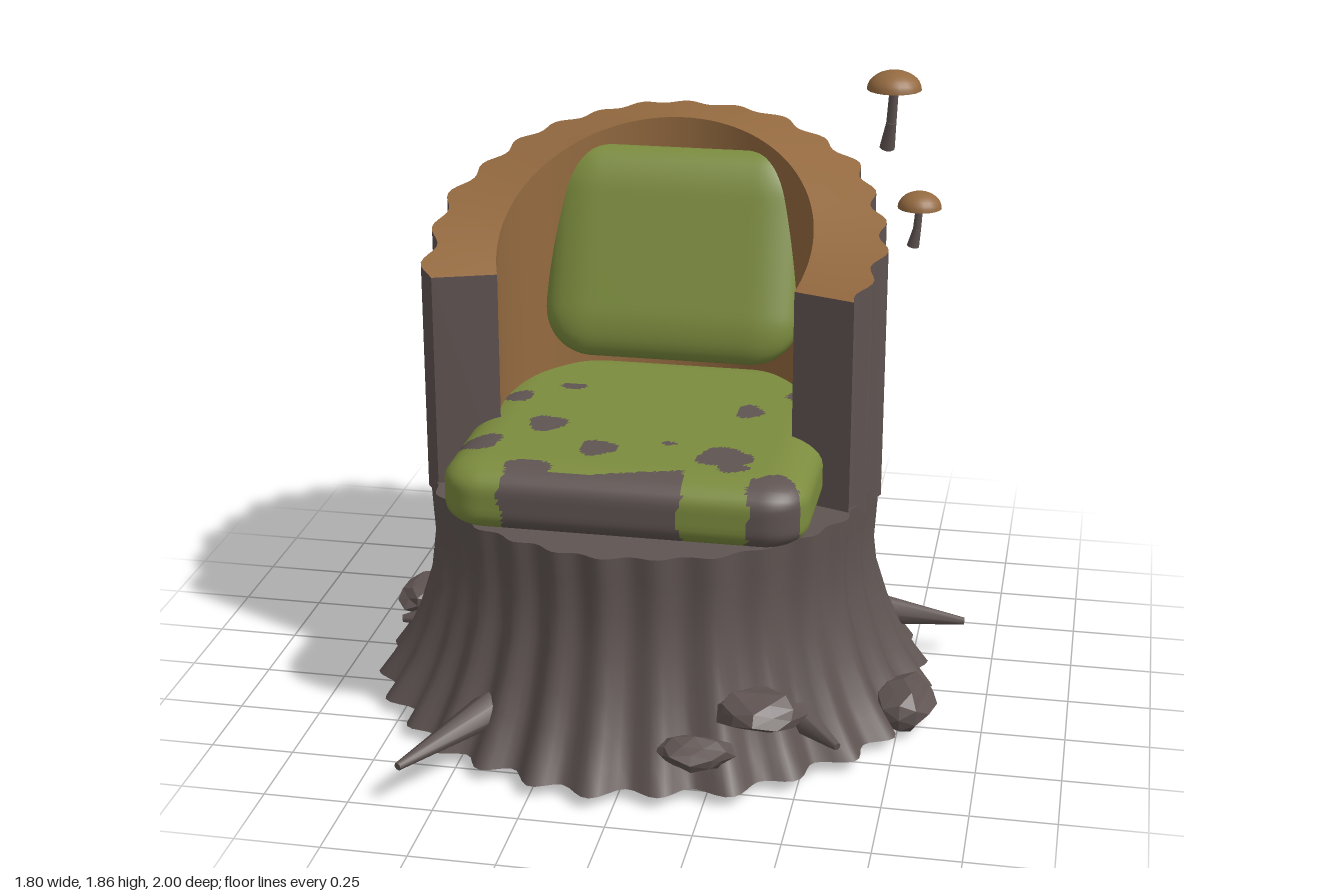
import * as THREE from 'three';
import { mergeVertices } from 'three/addons/utils/BufferGeometryUtils.js';

const CX = -0.04, CZ = 0.04; // trunk axis
const bark = new THREE.MeshStandardMaterial({ color: 0x5f5452 });
const wood = new THREE.MeshStandardMaterial({ color: 0x946a40 });
const moss = new THREE.MeshStandardMaterial({ color: 0x7c8c3e });
bark.name = 'bark';
wood.name = 'wood';
moss.name = 'moss';

const { sin, cos, PI } = Math;
const lerp = THREE.MathUtils.lerp;

// Surface grid from f(u, v) -> [x, y, z]; its front faces du x dv
function sheet(nu, nv, f) {
  const pos = [], idx = [];
  for (let j = 0; j <= nv; j++) for (let i = 0; i <= nu; i++) pos.push(...f(i / nu, j / nv));
  for (let j = 0; j < nv; j++) for (let i = 0; i < nu; i++) {
    const a = j * (nu + 1) + i, c = a + nu + 1;
    idx.push(a, a + 1, c, a + 1, c + 1, c);
  }
  let g = new THREE.BufferGeometry();
  g.setAttribute('position', new THREE.Float32BufferAttribute(pos, 3));
  g.setIndex(idx);
  g = mergeVertices(g, 1e-4);
  g.computeVertexNormals();
  return g;
}

function add(parent, name, geometry, material) {
  const m = new THREE.Mesh(geometry, material);
  m.name = name;
  parent.add(m);
  return m;
}

// Point around the trunk axis, angle 0 at +x, turning towards the back
const polar = (r, a, y) => [CX + r * cos(a), y, CZ - r * sin(a)];
// Irregular bark ridges, about -1..1
const ridge = a => 0.7 * cos(28 * a + 0.9 * sin(3 * a)) + 0.3 * sin(11 * a + 1);

// Box with elliptical rounding radii per axis
function cushionGeometry(size, radii, segs) {
  let g = new THREE.BoxGeometry(...size, ...segs);
  g.deleteAttribute('uv');
  g.deleteAttribute('normal');
  g.clearGroups();
  const p = g.attributes.position;
  for (let i = 0; i < p.count; i++) {
    const v = [p.getX(i), p.getY(i), p.getZ(i)];
    const core = v.map((c, k) => THREE.MathUtils.clamp(c, radii[k] - size[k] / 2, size[k] / 2 - radii[k]));
    const d = v.map((c, k) => (c - core[k]) / radii[k]);
    const len = Math.hypot(...d) || 1;
    p.setXYZ(i, ...core.map((c, k) => c + d[k] / len * radii[k]));
  }
  g = mergeVertices(g, 1e-5);
  g.computeVertexNormals();
  return g;
}

// Bare patches in the moss: x, z, radius x, radius z
const PATCHES = [
  [-0.47, 0.02, 0.045, 0.045], [0.25, 0.03, 0.04, 0.055], [0.39, -0.13, 0.045, 0.05],
  [-0.33, 0.235, 0.057, 0.062], [-0.49, 0.4, 0.062, 0.058], [-0.14, 0.4, 0.055, 0.058],
  [0.06, 0.33, 0.022, 0.014], [0.235, 0.405, 0.082, 0.07], [0.27, 0.48, 0.045, 0.035],
  [-0.32, -0.09, 0.04, 0.025], [-0.31, 0.57, 0.065, 0.05], [0.41, 0.58, 0.078, 0.07],
];
function isBare(x, y, z) {
  const wob = 0.008 * sin(y * 45 + x * 3);
  if (x > -0.38 + wob && x < 0.14 + wob && z > 0.575 - 0.2 * (x + 0.12) * (x > -0.12 ? 1 : 0)) return true;
  if (x > 0.34 + wob && x < 0.47 + wob && z > 0.54) return true;
  return PATCHES.some(([px, pz, rx, rz]) => {
    const dx = (x - px) / rx, dz = (z - pz) / rz, a = Math.atan2(dz, dx);
    return Math.hypot(dx, dz) < 1 + 0.12 * sin(3 * a + px * 30);
  });
}

function createSeat() {
  const at = [-0.035, 0.8, 0.1];
  const g = cushionGeometry([1.07, 0.21, 1.06], [0.13, 0.07, 0.13], [90, 12, 90]);
  const p = g.attributes.position, src = g.index.array, sets = [[], []];
  for (let i = 0; i < src.length; i += 3) {
    const t = [src[i], src[i + 1], src[i + 2]];
    const mid = f => (f(t[0]) + f(t[1]) + f(t[2])) / 3;
    const bare = isBare(mid(k => p.getX(k)) + at[0], mid(k => p.getY(k)) + at[1], mid(k => p.getZ(k)) + at[2]);
    sets[bare ? 1 : 0].push(...t);
  }
  g.setIndex(sets[0].concat(sets[1]));
  g.addGroup(0, sets[0].length, 0);
  g.addGroup(sets[0].length, sets[1].length, 1);
  g.translate(...at);
  return g;
}

function createStump(group) {
  // Flared base: height, radius, ridge depth
  const prof = [[0.04, 0.835, 0.04], [0.1, 0.795, 0.034], [0.18, 0.75, 0.028], [0.28, 0.71, 0.022],
    [0.4, 0.675, 0.018], [0.52, 0.662, 0.016], [0.62, 0.668, 0.016], [0.7, 0.672, 0.016]];
  const base = (a, k, s = 1) => polar(s * (prof[k][1] + prof[k][2] * ridge(a)), a, prof[k][0]);
  const n = prof.length - 1, turn = 2 * PI;
  add(group, 'stumpBase', sheet(224, n, (u, v) => base(u * turn, Math.round(v * n))), bark);
  add(group, 'stumpTop', sheet(224, 1, (u, v) => base(u * turn, n, 1 - v)), bark);
  add(group, 'stumpBottom', sheet(224, 1, (u, v) => base(u * turn, 0, v)), bark);

  // Hollow back, open at the front, with a rim rising to the rear
  const a0 = -PI / 9, a1 = PI - a0, low = 0.67, rIn = 0.47;
  const rOut = a => 0.672 + 0.024 * ridge(a);
  const top = a => 1.35 + 0.34 * (sin(a) - sin(a0)) / (1 - sin(a0));
  const loop = [
    a => polar(rOut(a), a, low), a => polar(rOut(a), a, top(a)),
    a => polar(rIn, a, top(a)), a => polar(rIn, a, low),
  ];
  [['backBark', bark], ['backRim', wood], ['backLining', wood], ['backUnderside', bark]].forEach(([name, mat], k) => {
    const from = loop[k], to = loop[(k + 1) % 4];
    add(group, name, sheet(144, 1, (u, v) => {
      const a = lerp(a0, a1, u);
      return v ? to(a) : from(a);
    }), mat);
  });
  for (const [name, a, flip] of [['leftArmFace', a0, false], ['rightArmFace', a1, true]]) {
    add(group, name, sheet(1, 1, (u, v) =>
      polar(lerp(rIn, rOut(a), flip ? 1 - u : u), a, lerp(low, top(a), v))), bark);
  }
}

// Tapered limb between two points
function limb(parent, name, from, to, r0, r1, sides) {
  const a = new THREE.Vector3(...from), b = new THREE.Vector3(...to), d = b.clone().sub(a);
  const m = add(parent, name, new THREE.CylinderGeometry(r1, r0, d.length(), sides), bark);
  m.position.copy(a).add(b).multiplyScalar(0.5);
  m.quaternion.setFromUnitVectors(new THREE.Vector3(0, 1, 0), d.normalize());
}

function rockGeometry(seed) {
  const g = new THREE.IcosahedronGeometry(1, 1), p = g.attributes.position;
  for (let i = 0; i < p.count; i++) {
    const x = p.getX(i), y = p.getY(i), z = p.getZ(i);
    const s = 0.92 + 0.11 * sin(5 * x + seed * 2.1) * cos(4 * y - seed) + 0.08 * sin(6 * z + seed);
    p.setXYZ(i, x * s, y * s, z * s);
  }
  g.computeVertexNormals();
  return g;
}

function mushroom(parent, foot, cap, r, h) {
  const g = new THREE.Group();
  g.name = 'mushroom';
  parent.add(g);
  const bend = foot.map((c, k) => k === 1 ? lerp(c, cap[1], 0.45) : lerp(c, cap[k], 0.65));
  limb(g, 'stalkLower', foot, bend, r * 0.29, r * 0.19, 10);
  limb(g, 'stalkUpper', bend, [cap[0], cap[1] + 0.01, cap[2]], r * 0.19, r * 0.17, 10);
  const dome = [];
  for (let i = 0; i <= 8; i++) dome.push(new THREE.Vector2(r * cos(i * PI / 16), h * sin(i * PI / 16)));
  dome[8].x = 0;
  add(g, 'cap', new THREE.LatheGeometry(dome, 20), wood).position.set(...cap);
  const gills = [new THREE.Vector2(0, 0.006), new THREE.Vector2(r, 0)];
  add(g, 'gills', new THREE.LatheGeometry(gills, 20), bark).position.set(...cap);
}

export function createModel() {
  const group = new THREE.Group();
  group.name = 'stumpArmchair';
  createStump(group);

  add(group, 'seatCushion', createSeat(), [moss, bark]);
  const back = add(group, 'backCushion', cushionGeometry([0.795, 0.66, 0.18], [0.15, 0.15, 0.07], [40, 32, 12]), moss);
  back.position.set(-0.037, 1.288, -0.295);
  back.rotation.x = -0.33;

  // Pointed roots: base, tip, base radius
  [
    [[-0.36, 0.17, 0.56], [-0.6, 0.13, 0.99], 0.065],
    [[0.29, 0.19, -0.55], [0.44, 0.125, -1.0], 0.075],
    [[0.6, 0.175, -0.2], [0.905, 0.125, -0.26], 0.055],
    [[0.47, 0.16, 0.52], [0.61, 0.13, 0.645], 0.05],
    [[-0.46, 0.16, -0.53], [-0.62, 0.13, -0.67], 0.06],
    [[-0.7, 0.15, 0.03], [-0.86, 0.13, 0.06], 0.05],
  ].forEach(([a, b, r]) => limb(group, 'root', a, b, r, 0.012, 7));

  // Stones around the foot: position, half sizes
  [
    [[0.385, 0.25, 0.69], [0.14, 0.06, 0.11]], [[0.22, 0.15, 0.79], [0.12, 0.05, 0.08]],
    [[0.76, 0.08, 0.23], [0.1, 0.08, 0.14]], [[0.46, 0.065, -0.61], [0.1, 0.06, 0.1]],
    [[-0.82, 0.16, -0.08], [0.09, 0.055, 0.13]], [[-0.63, 0.16, -0.48], [0.09, 0.07, 0.1]],
  ].forEach(([at, size], i) => {
    const m = add(group, 'stone', rockGeometry(i + 1), bark);
    m.position.set(...at);
    m.scale.set(...size);
  });

  mushroom(group, [0.59, 1.61, -0.485], [0.61, 1.803, -0.45], 0.084, 0.058);
  mushroom(group, [0.695, 1.35, -0.315], [0.712, 1.475, -0.305], 0.067, 0.05);
  return group;
}
